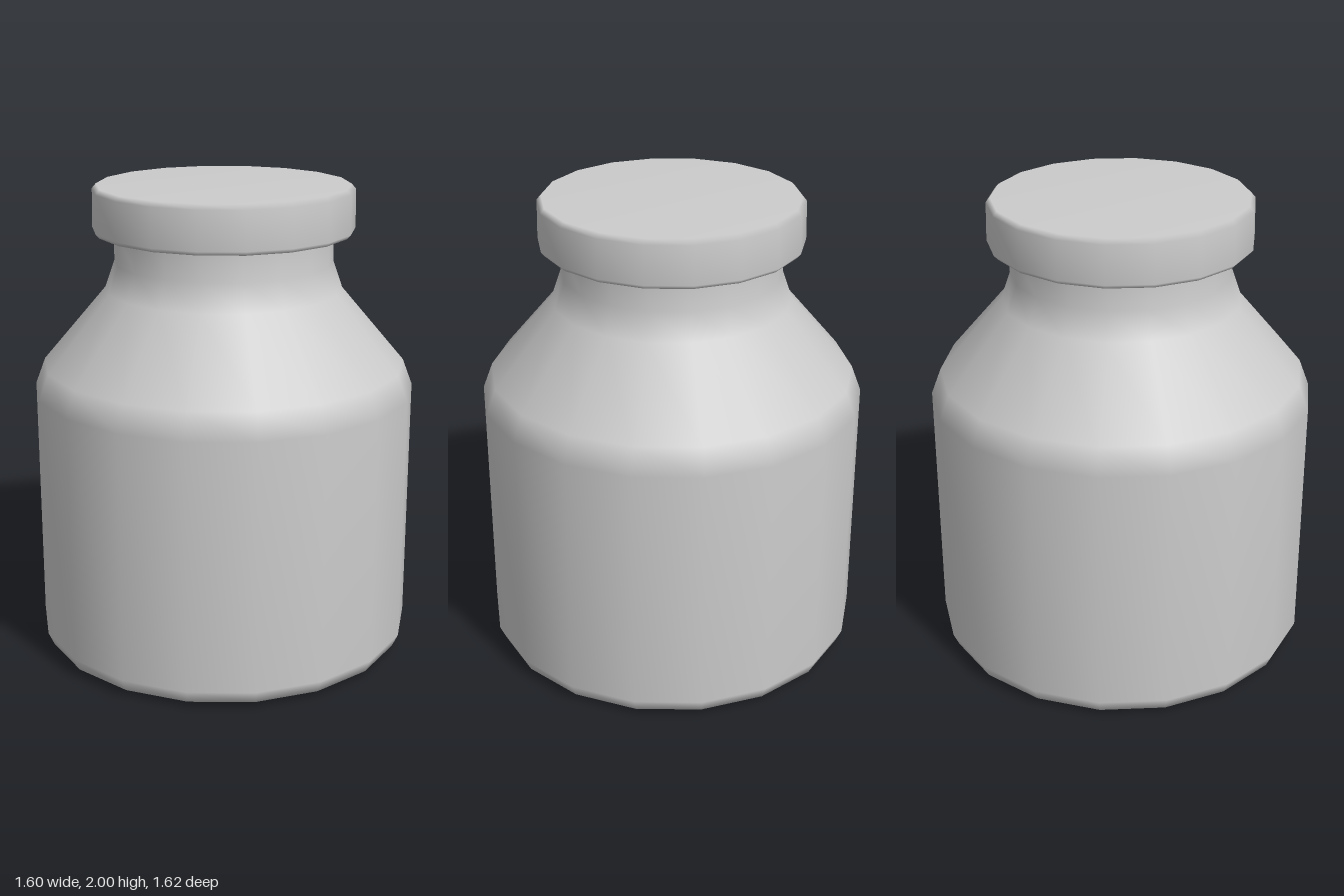
import * as THREE from 'three';

const SIDES = 18;

// Smooth 18-sided solid of revolution from [radius, height] pairs, bottom to top
function turned(name, profile, material) {
  const points = profile.map(([r, y]) => new THREE.Vector2(r, y));
  const mesh = new THREE.Mesh(new THREE.LatheGeometry(points, SIDES), material);
  mesh.name = name;
  return mesh;
}

export function createModel() {
  const group = new THREE.Group();
  group.name = 'jar';
  const material = new THREE.MeshStandardMaterial({ color: 0xcccccc });

  // Body: flat base, rounded lower edge, straight wall, sloped shoulder, neck
  group.add(turned('body', [
    [0, 0], [0.725, 0], [0.785, 0.025], [0.81, 0.08],
    [0.81, 1.14], [0.768, 1.25],
    [0.5, 1.565], [0.46, 1.68], [0.46, 1.82],
  ], material));

  // Lid: flat disc with small bevels, overhanging the neck
  group.add(turned('lid', [
    [0, 1.803], [0.535, 1.803], [0.55, 1.82],
    [0.547, 1.98], [0.53, 2], [0, 2],
  ], material));

  return group;
}
